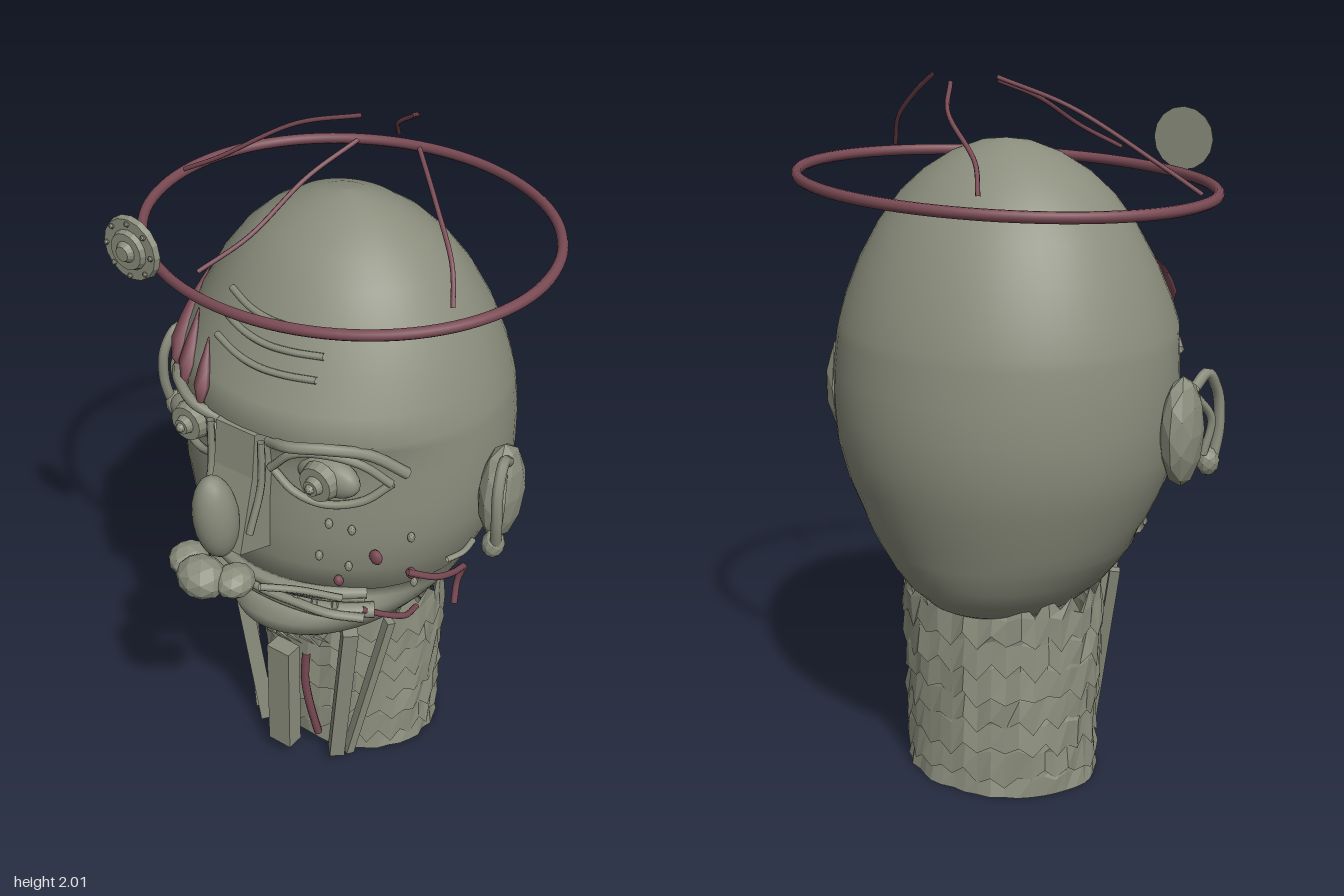
import * as THREE from 'three';

const skin = new THREE.MeshStandardMaterial({ color: 0x8b8e7d, side: THREE.DoubleSide });
skin.name = 'greySkin';
const facet = skin.clone();
facet.name = 'greySkinFaceted';
facet.flatShading = true;
const red = new THREE.MeshStandardMaterial({ color: 0x7a4a54 });
red.name = 'dullRed';

// Head sections: height, half width, front z, back z
const rows = [
  [0.465, 0.001, 0.0, -0.1], [0.48, 0.1, 0.1, -0.22], [0.51, 0.17, 0.19, -0.3], [0.55, 0.23, 0.26, -0.37],
  [0.6, 0.285, 0.315, -0.42], [0.65, 0.325, 0.33, -0.45], [0.7, 0.36, 0.3, -0.468], [0.72, 0.37, 0.235, -0.475],
  [0.77, 0.395, 0.235, -0.49], [0.8, 0.41, 0.31, -0.5], [0.9, 0.455, 0.335, -0.53], [1.0, 0.482, 0.335, -0.55],
  [1.1, 0.49, 0.33, -0.553], [1.2, 0.49, 0.32, -0.547], [1.3, 0.482, 0.33, -0.53], [1.33, 0.475, 0.375, -0.525],
  [1.4, 0.455, 0.34, -0.505], [1.5, 0.415, 0.285, -0.465], [1.6, 0.36, 0.228, -0.41], [1.68, 0.3, 0.175, -0.35],
  [1.74, 0.235, 0.115, -0.29], [1.79, 0.155, 0.04, -0.22], [1.82, 0.075, -0.03, -0.15], [1.83, 0.001, -0.09, -0.091],
];
const midZ = (f, b) => Math.min(-0.09, (f + b) / 2 + 0.02);

// Front surface of the head at (x, y), used to seat the features
function faceZ(x, y) {
  let i = 0;
  while (i < rows.length - 2 && rows[i + 1][0] < y) i++;
  const a = rows[i], b = rows[i + 1];
  const t = THREE.MathUtils.clamp((y - a[0]) / (b[0] - a[0]), 0, 1);
  const [w, f, k] = [1, 2, 3].map((n) => a[n] + (b[n] - a[n]) * t);
  const c = midZ(f, k);
  return c + (f - c) * Math.sqrt(Math.max(0, 1 - (x / w) ** 2));
}

function loft(rings) {
  const n = rings[0].length, pos = [], idx = [];
  rings.forEach((r) => r.forEach((p) => pos.push(...p)));
  for (let i = 0; i < rings.length - 1; i++) {
    for (let j = 0; j < n; j++) {
      const a = i * n + j, b = i * n + (j + 1) % n;
      idx.push(a, b, b + n, a, b + n, a + n);
    }
  }
  const g = new THREE.BufferGeometry();
  g.setAttribute('position', new THREE.Float32BufferAttribute(pos, 3));
  g.setIndex(idx);
  g.computeVertexNormals();
  return g;
}

export function createModel() {
  const model = new THREE.Group();
  model.name = 'head';
  let seed = 7;
  const rnd = () => (seed = (seed * 16807) % 2147483647) / 2147483647;

  const add = (name, geo, mat, x = 0, y = 0, z = 0) => {
    const m = new THREE.Mesh(geo, mat);
    m.name = name;
    m.position.set(x, y, z);
    model.add(m);
    return m;
  };
  const vec = (p) => new THREE.Vector3(...p);
  const tube = (name, pts, r, mat = skin) =>
    add(name, new THREE.TubeGeometry(new THREE.CatmullRomCurve3(pts.map(vec)), 24, r, 7), mat);
  // Tube lying on the face, from [x, y] points
  const onFace = (name, pts, r, mat = skin, lift = 0.005) =>
    tube(name, pts.map(([x, y]) => [x, y, faceZ(x, y) + lift]), r, mat);
  const blob = (name, x, y, z, rx, ry, rz, mat = facet, detail = 1) => {
    const m = add(name, new THREE.IcosahedronGeometry(1, detail), mat, x, y, z);
    m.scale.set(rx, ry, rz);
    return m;
  };
  // Rod between two points
  const bar = (name, geo, from, to, mat) => {
    const a = vec(from), d = vec(to).sub(a);
    const m = add(name, geo(d.length()), mat);
    m.position.copy(a).addScaledVector(d, 0.5);
    m.quaternion.setFromUnitVectors(new THREE.Vector3(0, 1, 0), d.normalize());
    return m;
  };
  const disc = (name, r0, r1, h, x, y, z) =>
    add(name, new THREE.CylinderGeometry(r0, r1, h, 16), facet, x, y, z).rotateX(Math.PI / 2);

  // Skull
  add('skull', loft(rows.map(([y, w, f, b]) => Array.from({ length: 56 }, (_, j) => {
    const t = j / 56 * Math.PI * 2, c = midZ(f, b), k = Math.cos(t);
    return [w * Math.sin(t), y, c + (k > 0 ? f - c : c - b) * k];
  }))), skin);

  // Neck: overlapping rings of ragged scales
  for (let k = 0; k < 7; k++) {
    const n = 44, top = (k + 1) * 0.083, ring = (y, grow, jag) => Array.from({ length: n }, (_, j) => {
      const t = j / n * Math.PI * 2;
      const r = grow + (rnd() - 0.5) * 0.014;
      const yy = Math.max(0, y + (j % 2 ? -jag : jag) * rnd());
      return [(0.27 + 0.025 * y / 0.6 + r) * Math.sin(t), yy, -0.13 + (0.222 + r) * Math.cos(t)];
    });
    add('neckScales', loft([
      ring(k ? top - 0.11 : 0, 0.012, k ? 0.03 : 0),
      ring(top - 0.03, 0.004, 0.01),
      ring(top, 0, k === 6 ? 0.04 : 0.01),
    ]), facet);
  }

  // Throat cords and windpipe
  for (const s of [-1, 1]) {
    bar('throatCord', (l) => new THREE.BoxGeometry(0.045, l, 0.045), [s * 0.205, 0.58, 0.165], [s * 0.135, 0.03, 0.135], facet);
    bar('thinCord', (l) => new THREE.BoxGeometry(0.025, l, 0.03), [s * 0.27, 0.58, 0.06], [s * 0.17, 0.04, 0.12], facet);
  }
  add('windpipe', new THREE.BoxGeometry(0.08, 0.38, 0.055), facet, -0.01, 0.245, 0.205);
  tube('throatCut', [[0.065, 0.44, 0.19], [0.06, 0.33, 0.19], [0.07, 0.22, 0.18], [0.085, 0.1, 0.16]], 0.013, red);

  // Eyes, lids and brows
  for (const s of [-1, 1]) {
    const ex = s * 0.225 - 0.012, ey = 1.215, ez = faceZ(ex, ey);
    blob('eyeball', ex, ey, ez, 0.1, 0.06, 0.045, skin, 3);
    disc('iris', 0.05, 0.058, 0.03, ex, ey, ez + 0.045);
    disc('pupil', 0.022, 0.03, 0.03, ex, ey, ez + 0.065);
    blob('eyeGlint', ex, ey, ez + 0.08, 0.014, 0.014, 0.014);
    const lid = (dx, dy) => [ex + s * dx, ey + dy];
    onFace('upperLid', [lid(-0.15, -0.01), lid(-0.08, 0.06), lid(0, 0.08), lid(0.09, 0.055), lid(0.15, -0.01)], 0.012, skin, 0.02);
    onFace('lowerLid', [lid(-0.15, -0.01), lid(-0.08, -0.065), lid(0, -0.085), lid(0.09, -0.065), lid(0.15, -0.01)], 0.012, skin, 0.015);
    onFace('browRidge', [lid(-0.14, 0.09), lid(-0.06, 0.115), lid(0.03, 0.12), lid(0.11, 0.09), lid(0.18, 0.02)], 0.016, skin, 0.02);
    // Nose side folds, nostrils and cheek folds
    tube('noseFold', [[s * 0.085 - 0.012, 1.32, 0.385], [s * 0.085 - 0.012, 1.18, 0.39], [s * 0.075 - 0.012, 1.04, 0.43]], 0.011);
    blob('nostril', s * 0.08 - 0.012, 0.93, 0.505, 0.055, 0.045, 0.06);
    tube('cheekFold', [[s * 0.1, 0.88, 0.44], [s * 0.17, 0.85, 0.36], [s * 0.25, 0.8, 0.27]], 0.011);

    // Ears
    blob('ear', s * 0.525, 1.08, -0.09, 0.055, 0.155, 0.088);
    tube('earRim', [[s * 0.55, 1.2, -0.07], [s * 0.565, 1.23, -0.02], [s * 0.58, 1.17, 0.025], [s * 0.585, 1.07, 0.03],
      [s * 0.575, 0.97, 0.01]], 0.016);
    tube('earFold', [[s * 0.55, 1.17, -0.05], [s * 0.575, 1.1, -0.005], [s * 0.56, 1.0, -0.02]], 0.012);
    blob('earLobe', s * 0.565, 0.975, 0.005, 0.032, 0.042, 0.035);
  }

  // Nose
  const bridge = new THREE.Shape([[0.25, 1.34], [0.385, 1.33], [0.4, 1.2], [0.46, 0.98], [0.3, 0.92]].map((p) => new THREE.Vector2(...p)));
  add('noseBridge', new THREE.ExtrudeGeometry(bridge, { depth: 0.13, bevelEnabled: false }), facet, 0.053, 0, 0).rotateY(-Math.PI / 2);
  blob('noseRidge', -0.015, 1.09, 0.475, 0.062, 0.14, 0.065, skin, 3).rotation.x = 0.12;
  blob('noseTip', -0.012, 0.93, 0.545, 0.075, 0.06, 0.065);

  // Mouth, teeth and chin spikes
  const lip = (name, y, bow, r, lift) => onFace(name,
    [-0.31, -0.2, -0.1, 0, 0.1, 0.2, 0.285].map((x) => [x, y + bow * (1 - (x / 0.3) ** 2)]), r, skin, lift);
  lip('upperLip', 0.79, 0.01, 0.02, 0.02);
  lip('upperLipEdge', 0.775, 0, 0.013, 0.065);
  lip('lowerLip', 0.7, 0.01, 0.024, 0.015);
  lip('lowerLipEdge', 0.7, 0.025, 0.014, 0.065);
  for (let i = 0; i < 9; i++) {
    const x = -0.22 + i * 0.053;
    add('tooth', new THREE.ConeGeometry(0.013, 0.045, 5), facet, x, 0.745, faceZ(x, 0.745) + 0.055);
    const cx = -0.13 + i * 0.032;
    bar('chinSpike', (l) => new THREE.ConeGeometry(0.008, l, 4), [cx, 0.57, faceZ(cx, 0.57)], [cx + 0.035, 0.53, faceZ(cx, 0.54) + 0.02], facet);
  }

  // Forehead wrinkles
  for (const y of [1.595, 1.54, 1.485]) {
    onFace('wrinkle', [[-0.17, y + 0.01], [-0.08, y], [0, y - 0.005], [0.08, y - 0.003], [0.165, y]], 0.01);
  }

  // Gashes over the right eye
  for (const [x, y, w, len] of [[-0.385, 1.52, 0.028, 0.27], [-0.29, 1.5, 0.026, 0.23], [-0.195, 1.48, 0.024, 0.21]]) {
    const shape = [0.08, 0.4, 0.75, 1, 0.45, 0.15, 0.05];
    add('gash', loft(shape.map((k, i) => {
      const t = 1 - i / 6, cx = x + 0.06 * t, cy = y - len * t;
      return Array.from({ length: 6 }, (_, j) => {
        const a = j / 6 * Math.PI * 2;
        return [cx + w * shape[6 - i] * Math.sin(a), cy, faceZ(cx, cy) + 0.012 + 0.02 * shape[6 - i] * Math.cos(a)];
      });
    })), red);
  }

  // Sores, warts and cuts on the left cheek
  for (const [x, y, r] of [[0.335, 0.96, 0.021], [0.245, 0.865, 0.015], [0.385, 0.865, 0.016]])
    blob('sore', x, y, faceZ(x, y) + 0.02, r, r * 1.15, 0.013, red);
  for (const [x, y] of [[0.225, 1.065], [0.28, 1.05], [0.4, 1.015], [0.2, 0.95], [0.27, 0.92], [0.37, 0.8]])
    blob('wart', x, y, faceZ(x, y) + 0.01, 0.011, 0.016, 0.011);
  tube('cheekCut', [[0.385, 0.88, 0.15], [0.425, 0.83, 0.07], [0.43, 0.79, -0.02], [0.42, 0.76, -0.09], [0.4, 0.7, -0.09], [0.405, 0.63, -0.07]], 0.01, red);
  tube('jawCut', [[0.27, 0.72, 0.2], [0.305, 0.67, 0.13], [0.325, 0.63, 0.06], [0.315, 0.61, -0.01]], 0.009, red);
  tube('cheekSeam', [[0.455, 0.9, 0.06], [0.475, 0.905, 0.01], [0.475, 0.915, -0.04]], 0.009);

  // Tilted halo ring
  const halo = add('halo', new THREE.TorusGeometry(1, 0.026, 10, 96), red, 0.003, 1.715, -0.092);
  halo.geometry.rotateX(Math.PI / 2).scale(0.582, 0.6, 0.505);
  halo.rotation.set(0.022, 0, 0.025);

  // Wires rising from the halo
  const wires = [
    [[-0.56, 1.72, -0.08], [-0.44, 1.79, -0.085], [-0.22, 1.93, -0.15], [-0.02, 2.0, -0.18]],
    [[-0.165, 1.76, -0.56], [-0.12, 1.83, -0.49], [0.01, 1.93, -0.39], [0.07, 1.99, -0.27]],
    [[-0.13, 1.75, 0.37], [-0.06, 1.82, 0.25], [-0.02, 1.92, 0.06], [0.03, 1.98, -0.09]],
    [[0.48, 1.75, 0.13], [0.44, 1.83, 0.08], [0.33, 1.92, -0.01], [0.2, 1.995, -0.12]],
  ];
  wires.forEach((p) => tube('haloWire', p, 0.0065, red));

  // Medallion hanging on the halo
  disc('medallion', 0.085, 0.09, 0.016, -0.305, 1.78, 0.42);
  disc('medallionStep', 0.05, 0.056, 0.014, -0.305, 1.78, 0.435);
  disc('medallionHub', 0.02, 0.03, 0.016, -0.305, 1.78, 0.449);
  for (let i = 0; i < 8; i++) {
    const a = i / 8 * Math.PI * 2;
    blob('medallionBead', -0.305 + 0.074 * Math.cos(a), 1.78 + 0.074 * Math.sin(a), 0.432, 0.008, 0.008, 0.008, facet, 0);
  }
  return model;
}
